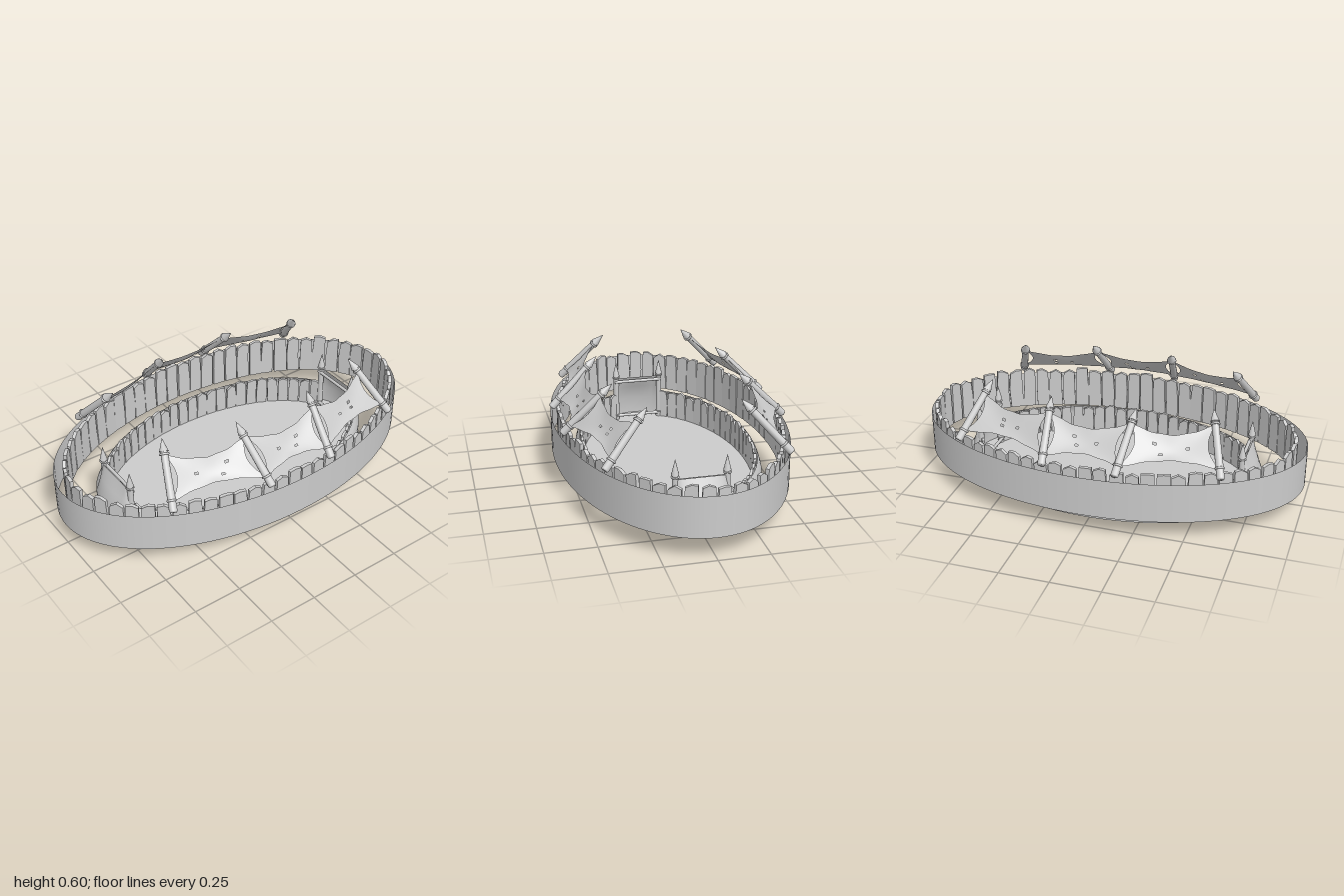
import * as THREE from 'three';

const smooth = new THREE.MeshStandardMaterial({ color: 0xcccccc, side: THREE.DoubleSide });
const faceted = new THREE.MeshStandardMaterial({ color: 0xcccccc, flatShading: true });
const V = (x, y, z) => new THREE.Vector3(x, y, z);

let seed = 7;
const rand = () => (seed = (seed * 16807) % 2147483647) / 2147483647;

function add(parent, name, geometry, material = smooth) {
  const mesh = new THREE.Mesh(geometry, material);
  mesh.name = name;
  parent.add(mesh);
  return mesh;
}

// Grid surface from a rule point(u, v); skip(i, j) leaves holes
function surface(nu, nv, point, skip = () => false) {
  const pos = [], index = [];
  for (let j = 0; j <= nv; j++)
    for (let i = 0; i <= nu; i++) pos.push(...point(i / nu, j / nv).toArray());
  for (let j = 0; j < nv; j++)
    for (let i = 0; i < nu; i++) {
      if (skip(i, j)) continue;
      const a = j * (nu + 1) + i, b = a + 1, c = a + nu + 1, d = c + 1;
      index.push(a, b, d, a, d, c);
    }
  const g = new THREE.BufferGeometry();
  g.setAttribute('position', new THREE.Float32BufferAttribute(pos, 3));
  g.setIndex(index);
  g.computeVertexNormals();
  return g;
}

// Upright board with an uneven top and slightly crooked sides
function plankGeometry(w, h, t) {
  const g = new THREE.BoxGeometry(w, h, t, 2, 2, 1), p = g.attributes.position;
  const top = [0, 1, 2].map((i) => (i === 1 ? 0 : -0.022 * rand()));
  const lean = [0, 1, 2].map(() => (rand() - 0.5) * w * 0.12);
  for (let i = 0; i < p.count; i++) {
    const col = Math.round(p.getX(i) / w * 2) + 1, row = Math.round(p.getY(i) / h * 2) + 1;
    p.setX(i, p.getX(i) * (row === 2 ? 0.9 : 1) + lean[row]);
    if (row === 2) p.setY(i, p.getY(i) + top[col]);
  }
  return g;
}

// Ring of planks spaced evenly along an ellipse
function palisade(name, a, b, zc, count, y0, y1, thick, keep) {
  const group = new THREE.Group();
  group.name = name;
  const curve = new THREE.EllipseCurve(0, 0, a, b);
  curve.arcLengthDivisions = 800;
  const pitch = curve.getLength() / count;
  for (let i = 0; i < count; i++) {
    const u = (i + 0.5) / count, p = curve.getPointAt(u), t = curve.getTangentAt(u);
    if (!keep(p)) continue;
    const h = y1 - y0 - rand() * 0.018;
    const m = add(group, 'plank', plankGeometry(pitch * (0.88 + 0.1 * rand()), h, thick), faceted);
    m.position.set(p.x, y0 + h / 2, p.y + zc);
    m.rotation.y = Math.atan2(-t.y, t.x) + (rand() - 0.5) * 0.06;
  }
  return group;
}

// Round post with a blunt butt, two collars and a sharpened tip
function spikedPost(name, from, to, r, tip) {
  const L = from.distanceTo(to), group = new THREE.Group();
  group.name = name;
  const shaft = [[0, 0], [r * 0.8, 0], [r, r * 0.4], [r * 0.88, L - tip], [r * 0.8, L - tip]];
  add(group, 'shaft', new THREE.LatheGeometry(shaft.map((q) => new THREE.Vector2(...q)), 12));
  add(group, 'tip', new THREE.ConeGeometry(r * 1.15, tip, 12)).position.y = L - tip / 2;
  for (const y of [L * 0.16, L - tip - r * 0.6]) {
    const c = add(group, 'collar', new THREE.TorusGeometry(r * 0.98, r * 0.28, 6, 14));
    c.rotation.x = Math.PI / 2;
    c.position.y = y;
  }
  group.position.copy(from);
  group.quaternion.setFromUnitVectors(V(0, 1, 0), to.clone().sub(from).normalize());
  return group;
}

// Hide stretched between two posts: edges pulled in, middle sagging, small tears
function hide(p, q, k) {
  const tears = [[5 + k, 7], [12, 4 + k], [14 - k, 9]];
  return surface(20, 14, (u, v) => {
    const su = Math.sin(Math.PI * u), sv = Math.sin(Math.PI * v);
    const uu = u + (0.5 - u) * 0.2 * sv;
    const along = 0.14 + 0.63 * v + (0.5 - v) * 0.26 * su + 0.012 * Math.sin(u * 23 + k) * (v - 0.5);
    const a = p.from.clone().lerp(p.to, along), b = q.from.clone().lerp(q.to, along);
    const pt = a.lerp(b, uu);
    pt.y -= 0.025 * su * (0.4 + 0.6 * sv);
    return pt;
  }, (i, j) => tears.some(([a, b]) => a === i && b === j));
}

export function createModel() {
  const model = new THREE.Group();
  model.name = 'palisadeArena';

  // Outer wall and the palisade lining it
  const outer = new THREE.CylinderGeometry(1, 1, 0.205, 96, 1, true);
  outer.scale(0.585, 1, 1);
  add(model, 'outerWall', outer).position.y = 0.2175;
  model.add(palisade('outerPalisade', 0.545, 0.955, -0.015, 64, 0.135, 0.365, 0.018, () => true));

  // Arena floor
  const floor = new THREE.CylinderGeometry(1, 1, 0.012, 72);
  floor.scale(0.46, 1, 0.785);
  add(model, 'floor', floor, new THREE.MeshStandardMaterial({ color: 0xcccccc })).position.y = 0.031;

  // Inner wall: upright below, drawn in at the top, higher behind the gates
  const inner = surface(120, 3, (u, v) => {
    const t = u * Math.PI * 2, s = Math.sin(t), c = Math.cos(t);
    const gate = Math.abs(c * 0.46) < 0.135;
    if (v < 0.5) return V(0.46 * c, v < 0.1 ? 0.025 : 0.13, 0.785 * s);
    const top = gate ? 0.28 : 0.185;
    const z = THREE.MathUtils.clamp(0.745 * s, -0.71, 0.71);
    if (v < 0.9) return V(0.452 * c, 0.13 + (top - 0.13) * 0.55, (0.775 * s + z) / 2);
    return V(0.44 * c, top, z);
  });
  add(model, 'innerWall', inner);
  model.add(palisade('innerPalisade', 0.43, 0.725, 0, 60, 0.017, 0.2, 0.014,
    (p) => Math.abs(p.x) > 0.13));

  // Gates at both ends: spiked posts, footings and cross bars
  for (const s of [1, -1]) {
    const gate = new THREE.Group();
    gate.name = s > 0 ? 'frontGate' : 'backGate';
    for (const x of [-0.125, 0.125]) {
      gate.add(spikedPost('gatePost', V(x, 0.005, s * 0.7), V(x, 0.38, s * 0.7), 0.017, 0.08));
      add(gate, 'footing', new THREE.CylinderGeometry(0.022, 0.022, 0.03, 10)).position.set(x, 0.015, s * 0.705);
    }
    for (const y of [0.06, 0.265]) {
      const bar = add(gate, 'crossBar', new THREE.CylinderGeometry(0.009, 0.009, 0.27, 8));
      bar.rotation.z = Math.PI / 2;
      bar.position.set(0, y, s * 0.69);
    }
    model.add(gate);
  }

  // Leaning posts on each side with hides stretched between neighbours
  for (const s of [1, -1]) {
    const side = new THREE.Group();
    side.name = s > 0 ? 'leftCanopy' : 'rightCanopy';
    const posts = [
      [0.45, 0.66, 0.22, 0.565], [0.57, 0.175, 0.32, 0.212],
      [0.57, -0.19, 0.32, -0.22], [0.45, -0.675, 0.225, -0.568],
    ].map(([x0, z0, x1, z1]) => ({ from: V(s * x0, 0.345, z0), to: V(s * x1, 0.595, z1) }));
    posts.forEach((p, i) => {
      side.add(spikedPost('leaningPost', p.from, p.to, 0.02, 0.065));
      if (i < 3) add(side, 'hide', hide(p, posts[i + 1], i));
    });
    model.add(side);
  }
  return model;
}
